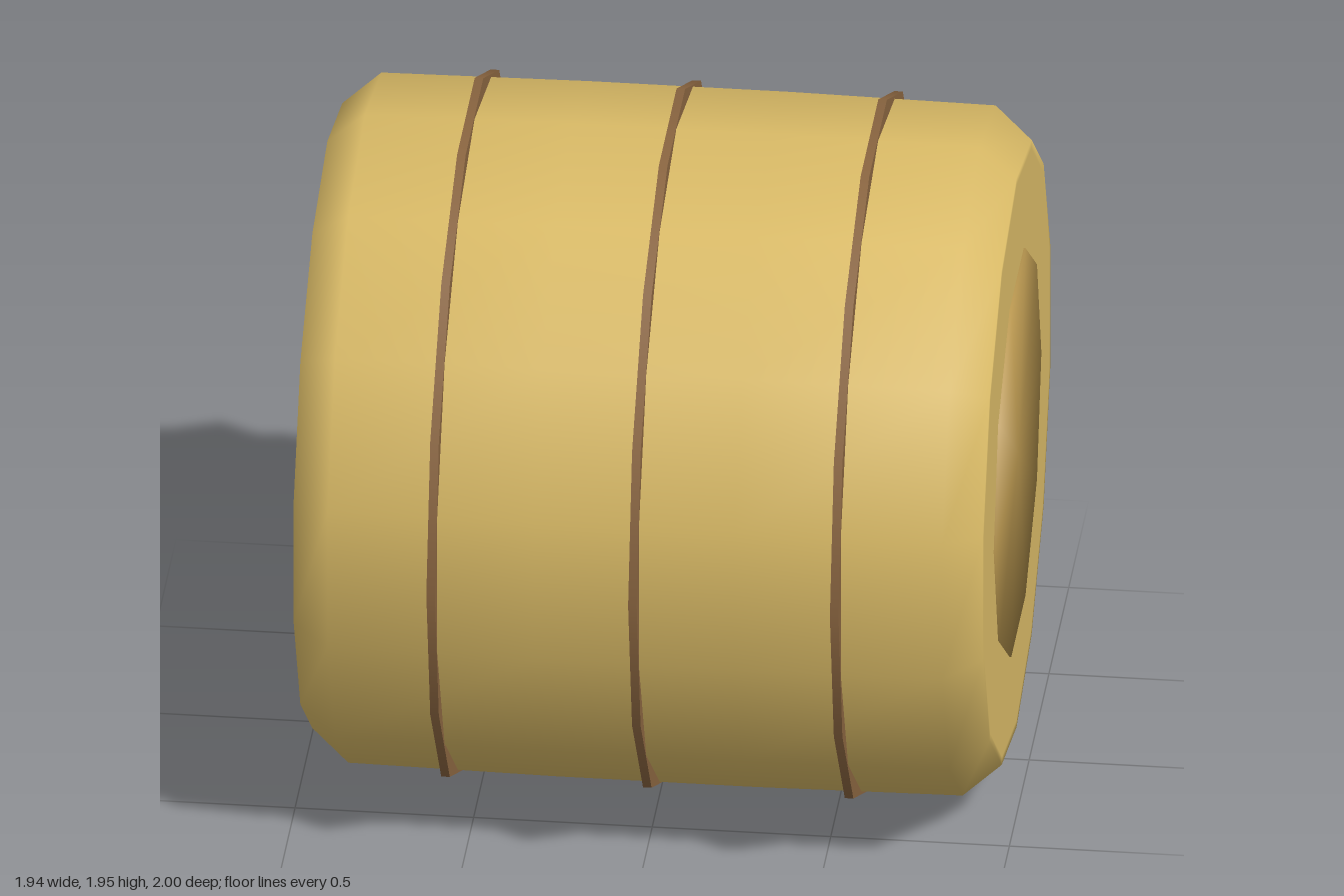
import * as THREE from 'three';
import { mergeVertices } from 'three/addons/utils/BufferGeometryUtils.js';

const AXIS_HEIGHT = 0.975;

// Adds a part whose own y axis is laid along x, at the roll's axis height
function addAlongX(group, name, geometry, color, x = 0) {
  geometry.rotateZ(-Math.PI / 2);
  const mesh = new THREE.Mesh(geometry, new THREE.MeshStandardMaterial({ color }));
  mesh.name = name;
  mesh.position.set(x, AXIS_HEIGHT, 0);
  group.add(mesh);
}

// Joins the shared corners so the normals blend over every edge
function smooth(geometry) {
  geometry.deleteAttribute('normal');
  geometry.deleteAttribute('uv');
  const merged = mergeVertices(geometry);
  merged.computeVertexNormals();
  return merged;
}

export function createModel() {
  const group = new THREE.Group();
  group.name = 'bale';

  // Body: slightly bulging 14-sided roll with bevelled ends, a corner at the top
  const half = [[0, 0.965], [0.85, 0.965], [0.872, 0.965], [0.963, 0.86], [0.97, 0.28]];
  const profile = [
    ...half.map(([r, y]) => new THREE.Vector2(r, -y)),
    ...[...half].reverse().map(([r, y]) => new THREE.Vector2(r, y)),
  ];
  addAlongX(group, 'body', new THREE.LatheGeometry(profile, 14, Math.PI / 2), 0xd9ba66);

  // Core: ten-sided, its ends standing just proud of the body
  addAlongX(group, 'core', smooth(new THREE.CylinderGeometry(0.58, 0.58, 1.94, 10)), 0xb8964f);

  // Bands: turned half a side against the body, so only their corners show
  for (const x of [-0.565, 0, 0.565]) {
    addAlongX(group, 'band', new THREE.CylinderGeometry(1, 1, 0.024, 14), 0x8a6540, x);
  }

  return group;
}
